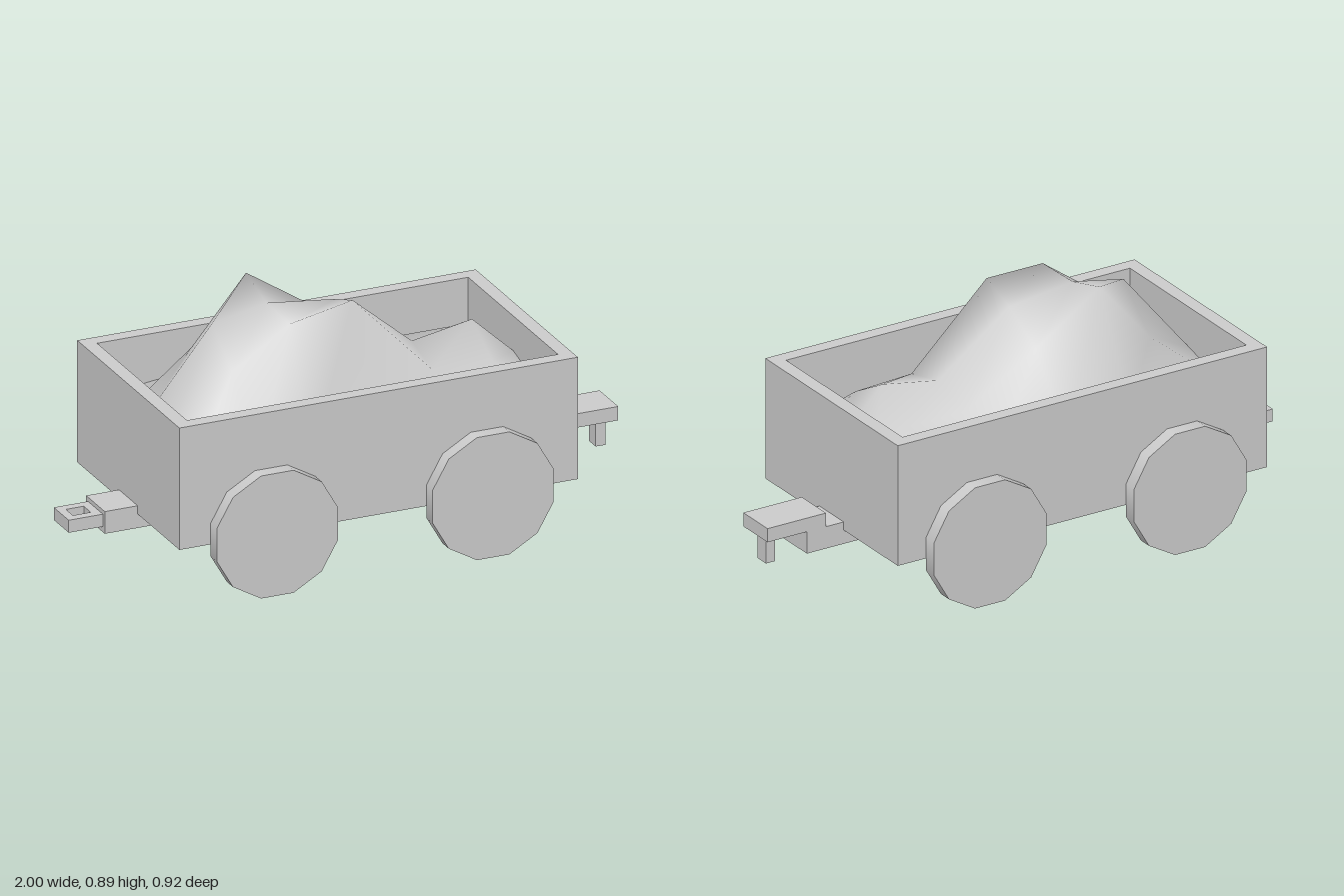
import * as THREE from 'three';

const material = new THREE.MeshStandardMaterial({ color: 0xcccccc });

function add(parent, name, geometry) {
  const mesh = new THREE.Mesh(geometry, material);
  mesh.name = name;
  parent.add(mesh);
  return mesh;
}

// Box given by its extents in x, y and its half width in z
function block(parent, name, x0, x1, y0, y1, halfZ) {
  const mesh = add(parent, name, new THREE.BoxGeometry(x1 - x0, y1 - y0, halfZ * 2));
  mesh.position.set((x0 + x1) / 2, (y0 + y1) / 2, 0);
  return mesh;
}

// Upright rectangular ring with a rectangular opening
function frame(parent, name, outer, inner, y0, y1) {
  const corners = ([x0, x1, h]) => [[x0, -h], [x1, -h], [x1, h], [x0, h]].map((p) => new THREE.Vector2(...p));
  const shape = new THREE.Shape(corners(outer));
  shape.holes.push(new THREE.Path(corners(inner).reverse()));
  const geometry = new THREE.ExtrudeGeometry(shape, { depth: y1 - y0, bevelEnabled: false });
  geometry.rotateX(-Math.PI / 2).translate(0, y0, 0);
  return add(parent, name, geometry);
}

// Lumpy load: a coarse height grid with smooth normals
function heapGeometry() {
  const xs = [-0.705, -0.45, -0.25, 0, 0.28, 0.5, 0.65];
  const zs = [-0.36, -0.165, 0, 0.165, 0.36];
  const heights = [
    [0.45, 0.48, 0.53, 0.48, 0.46, 0.46, 0.45],
    [0.46, 0.66, 0.895, 0.73, 0.57, 0.57, 0.48],
    [0.5, 0.81, 0.85, 0.82, 0.62, 0.66, 0.52],
    [0.46, 0.7, 0.845, 0.87, 0.58, 0.57, 0.48],
    [0.42, 0.43, 0.42, 0.43, 0.42, 0.43, 0.43],
  ];
  const geometry = new THREE.PlaneGeometry(1, 1, xs.length - 1, zs.length - 1);
  const position = geometry.attributes.position;
  heights.forEach((row, j) => row.forEach((y, i) => {
    // the two front summits sit slightly off the grid row
    let z = zs[j];
    if (j === 3 && i === 2) z = 0.185;
    if (j === 3 && i === 3) z = 0.14;
    position.setXYZ(j * xs.length + i, xs[i], y, z);
  }));
  geometry.computeVertexNormals();
  return geometry;
}

export function createModel() {
  const wagon = new THREE.Group();
  wagon.name = 'wagon';

  // Open body with floor and load
  const body = new THREE.Group();
  body.name = 'body';
  wagon.add(body);
  frame(body, 'walls', [-0.755, 0.7, 0.41], [-0.705, 0.65, 0.36], 0.205, 0.645);
  block(body, 'floor', -0.705, 0.65, 0.205, 0.25, 0.36);
  add(body, 'heap', heapGeometry());

  // Central beam under the body
  block(wagon, 'beam', -0.875, 0.845, 0.155, 0.235, 0.075);

  // Hook coupling on one end, eye coupling on the other
  const hook = new THREE.Group();
  hook.name = 'hookCoupling';
  wagon.add(hook);
  block(hook, 'hookPlate', 0.77, 1, 0.235, 0.285, 0.075);
  block(hook, 'hookPin', 0.94, 0.975, 0.132, 0.235, 0.026);
  frame(wagon, 'eyeCoupling', [-1, -0.875, 0.06], [-0.97, -0.905, 0.028], 0.175, 0.22);

  // Four twelve-sided wheels, flat side down
  const wheel = new THREE.CylinderGeometry(0.229, 0.229, 0.05, 12, 1, false, Math.PI / 12);
  wheel.rotateX(Math.PI / 2);
  for (const x of [-0.42, 0.368]) {
    for (const side of [-1, 1]) {
      const end = x < 0 ? 'right' : 'left';
      add(wagon, `${end}${side > 0 ? 'Front' : 'Back'}Wheel`, wheel).position.set(x, 0.2215, side * 0.435);
    }
  }
  return wagon;
}
